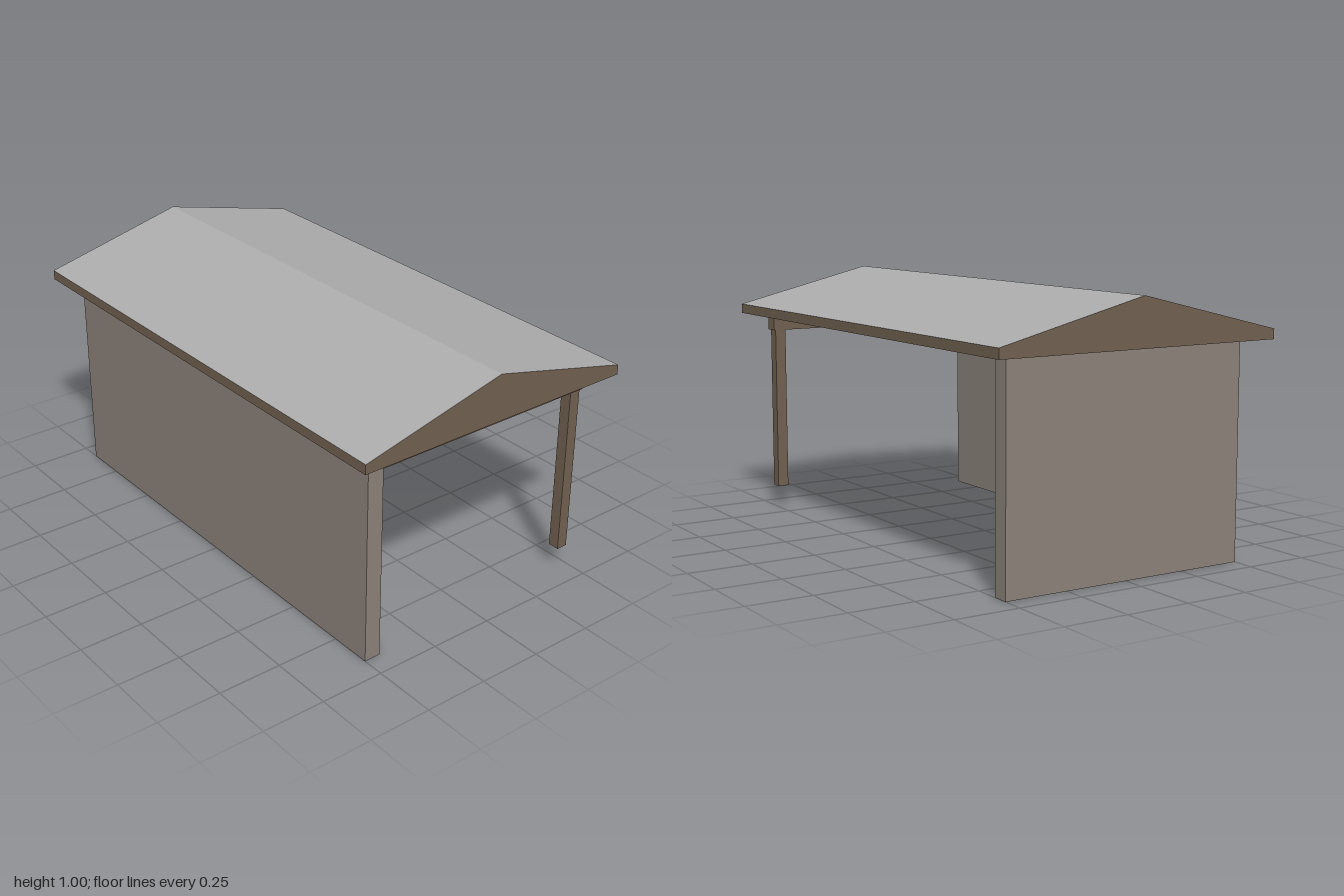
import * as THREE from 'three';

export function createModel() {
  const group = new THREE.Group();
  group.name = 'openShelter';

  const mat = (name, color) => {
    const m = new THREE.MeshStandardMaterial({ color });
    m.name = name;
    return m;
  };
  const wall = mat('warmGreyWall', 0x8a8179);
  const timber = mat('brownTimber', 0x706050);
  const roof = mat('greyRoof', 0xacacac);

  const add = (name, geometry, material) => {
    const mesh = new THREE.Mesh(geometry, material);
    mesh.name = name;
    group.add(mesh);
    return mesh;
  };

  // Box given by its limits on each axis
  const box = (name, material, [x0, x1], [y0, y1], [z0, z1]) =>
    add(name, new THREE.BoxGeometry(x1 - x0, y1 - y0, z1 - z0), material)
      .position.set((x0 + x1) / 2, (y0 + y1) / 2, (z0 + z1) / 2);

  const eaveX = 0.583, baseY = 0.82, eaveY = 0.858, ridgeY = 1, innerX = 0.5;

  // Strip between two section points, running the full length of the roof
  const strip = (name, material, [ax, ay], [bx, by]) => {
    const g = new THREE.BufferGeometry();
    g.setAttribute('position', new THREE.Float32BufferAttribute(
      [ax, ay, 1, bx, by, 1, bx, by, -1, ax, ay, -1], 3));
    g.setIndex([0, 1, 2, 0, 2, 3]);
    g.computeVertexNormals();
    add(name, g, material);
  };

  // Walls: one side and the back
  box('backWall', wall, [-0.5, 0.5], [0, baseY], [-0.915, -0.85]);
  box('sideWall', wall, [-0.5, -0.435], [0, baseY], [-0.85, 0.915]);

  // Front beam and its corner post
  box('frontBeam', timber, [-0.44, 0.5], [0.753, baseY], [0.859, 0.916]);
  box('cornerPost', timber, [0.446, 0.491], [0.085, 0.755], [0.865, 0.91]);

  // Roof skin, walked clockwise around the section from the right eave
  strip('rightSlope', roof, [0, ridgeY], [eaveX, eaveY]);
  strip('leftSlope', roof, [-eaveX, eaveY], [0, ridgeY]);
  strip('rightFascia', timber, [eaveX, eaveY], [eaveX, baseY]);
  strip('leftFascia', timber, [-eaveX, baseY], [-eaveX, eaveY]);
  strip('rightSoffit', roof, [eaveX, baseY], [innerX, baseY]);
  strip('leftSoffit', roof, [-innerX, baseY], [-eaveX, baseY]);
  strip('ceiling', wall, [innerX, baseY], [-innerX, baseY]);

  // Gable ends
  const gable = new THREE.Shape([
    [-eaveX, baseY], [eaveX, baseY], [eaveX, eaveY], [0, ridgeY], [-eaveX, eaveY],
  ].map(([x, y]) => new THREE.Vector2(x, y)));
  const gableGeometry = new THREE.ShapeGeometry(gable);
  add('frontGable', gableGeometry, timber).position.z = 1;
  const back = add('backGable', gableGeometry, timber);
  back.position.z = -1;
  back.rotation.y = Math.PI;

  return group;
}
